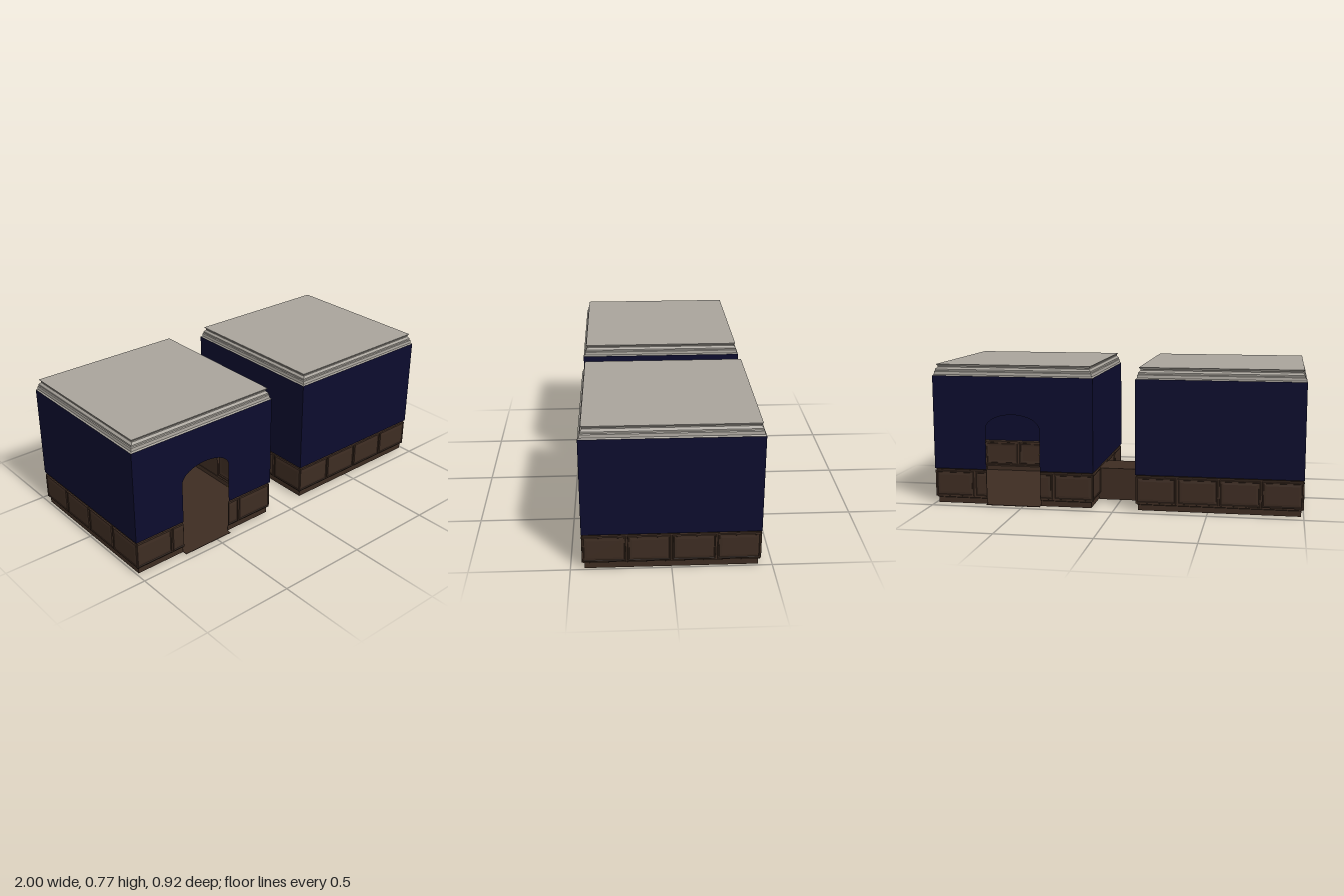
import * as THREE from 'three';

const HALF = 0.443;      // half width of a room
const DOOR = 0.15;       // half width of a doorway
const CENTRE = 0.557;    // distance of each room from the middle
const WALL_BASE = 0.195, WALL_TOP = 0.705;

const mat = (name, color) =>
  new THREE.MeshStandardMaterial({ name, color, side: THREE.DoubleSide });

const clamp = THREE.MathUtils.clamp;

// Flat-shaded surface from a list of four-cornered faces
function quads(list) {
  const pos = [];
  for (const [a, b, c, d] of list) pos.push(...a, ...b, ...c, ...a, ...c, ...d);
  const g = new THREE.BufferGeometry();
  g.setAttribute('position', new THREE.Float32BufferAttribute(pos, 3));
  g.computeVertexNormals();
  return g;
}

// Moulding along one side, mitred at the corners; profile is [depth, height]
function moulding(profile, [x0, x1]) {
  const faces = [];
  for (let i = 0; i < profile.length - 1; i++) {
    const [d, y] = profile[i], [e, v] = profile[i + 1];
    faces.push([
      [clamp(x0, -d, d), y, d], [clamp(x1, -d, d), y, d],
      [clamp(x1, -e, e), v, e], [clamp(x0, -e, e), v, e]]);
  }
  return quads(faces);
}

// Raised panel from nested rectangles, cut off where a doorway begins
function panel(left, right, bottom, top, [x0, x1]) {
  const rings = [[0, 0.436], [0.004, 0.436], [0.006, 0.443], [0.011, 0.443], [0.013, 0.44], [0.026, 0.442]];
  const loops = rings.map(([inset, d]) => {
    const l = clamp(left + inset, x0, x1), r = clamp(right - inset, x0, x1);
    const b = bottom + inset, t = top - inset;
    return [[l, b, d], [r, b, d], [r, t, d], [l, t, d]];
  });
  const faces = [loops[loops.length - 1]];
  for (let i = 0; i < loops.length - 1; i++)
    for (let k = 0; k < 4; k++) {
      const n = (k + 1) % 4;
      faces.push([loops[i][k], loops[i][n], loops[i + 1][n], loops[i + 1][k]]);
    }
  return quads(faces);
}

// Wall sheet, with an arched notch when it has a doorway
function wallSheet(hasDoor) {
  const s = new THREE.Shape();
  s.moveTo(-HALF, WALL_BASE);
  if (hasDoor) {
    s.lineTo(-DOOR, WALL_BASE);
    s.lineTo(-DOOR, 0.42);
    s.absellipse(0, 0.42, DOOR, 0.08, Math.PI, 0, true);
    s.lineTo(DOOR, WALL_BASE);
  }
  s.lineTo(HALF, WALL_BASE);
  s.lineTo(HALF, WALL_TOP);
  s.lineTo(-HALF, WALL_TOP);
  return new THREE.ShapeGeometry(s, 10).translate(0, 0, HALF);
}

const BASEBOARD = [[0.43, 0], [0.43, 0.03], [0.436, 0.034], [0.436, 0.04]];
const RAIL = [[0.436, 0.182], [0.436, 0.189], [0.443, 0.195]];
const CROWN = [[0.443, 0.705], [0.436, 0.711], [0.434, 0.727], [0.43, 0.731], [0.43, 0.739],
  [0.425, 0.745], [0.42, 0.75], [0.42, 0.756], [0.427, 0.766]];

export function createModel() {
  const navy = mat('navy wall', 0x0c0c2d);
  const wood = mat('dark wood', 0x3d2c22);
  const plaster = mat('pale plaster', 0xa8a39b);
  const brass = mat('brass', 0x9a7a30);

  const add = (parent, name, geometry, material) => {
    const m = new THREE.Mesh(geometry, material);
    m.name = name;
    parent.add(m);
    return m;
  };

  // One wall with its wainscot and crown
  function side(hasDoor) {
    const g = new THREE.Group();
    g.name = hasDoor ? 'doorSide' : 'plainSide';
    add(g, 'wall', wallSheet(hasDoor), navy);
    add(g, 'crownMoulding', moulding(CROWN, [-1, 1]), plaster);
    const spans = hasDoor ? [[-1, -DOOR], [DOOR, 1]] : [[-1, 1]];
    for (const span of spans) {
      add(g, 'baseboard', moulding(BASEBOARD, span), wood);
      add(g, 'wainscotRail', moulding(RAIL, span), wood);
      for (let k = 0; k < 4; k++) {
        const left = -HALF + k * HALF / 2, right = left + HALF / 2;
        if (right <= span[0] || left >= span[1]) continue;
        add(g, 'wainscotPanel', panel(left, right, 0.037, 0.185, span), wood);
      }
    }
    return g;
  }

  function room(name) {
    const g = new THREE.Group();
    g.name = name;
    for (let i = 0; i < 4; i++) {
      const s = side(i === 0);
      s.rotation.y = i * Math.PI / 2;
      g.add(s);
    }
    add(g, 'floor', new THREE.BoxGeometry(0.86, 0.003, 0.86).translate(0, 0.0015, 0), wood);
    add(g, 'doorSill', new THREE.BoxGeometry(2 * DOOR, 0.003, 0.03).translate(0, 0.0015, 0.443), wood);
    add(g, 'ceiling', new THREE.PlaneGeometry(0.854, 0.854).rotateX(-Math.PI / 2).translate(0, 0.766, 0), plaster);
    add(g, 'doorCatch', new THREE.SphereGeometry(0.004, 8, 6).translate(DOOR - 0.004, 0.285, 0.437), brass);
    return g;
  }

  const model = new THREE.Group();
  model.name = 'pairedRooms';

  // Two rooms, turned half round from each other
  const rightRoom = room('rightRoom');
  rightRoom.position.x = -CENTRE;
  const leftRoom = room('leftRoom');
  leftRoom.position.x = CENTRE;
  leftRoom.rotation.y = Math.PI;
  model.add(rightRoom, leftRoom);

  // Low passage joining the rooms
  add(model, 'passage', new THREE.BoxGeometry(0.25, 0.178, 0.22).translate(0, 0.089, -0.11), wood);
  return model;
}
